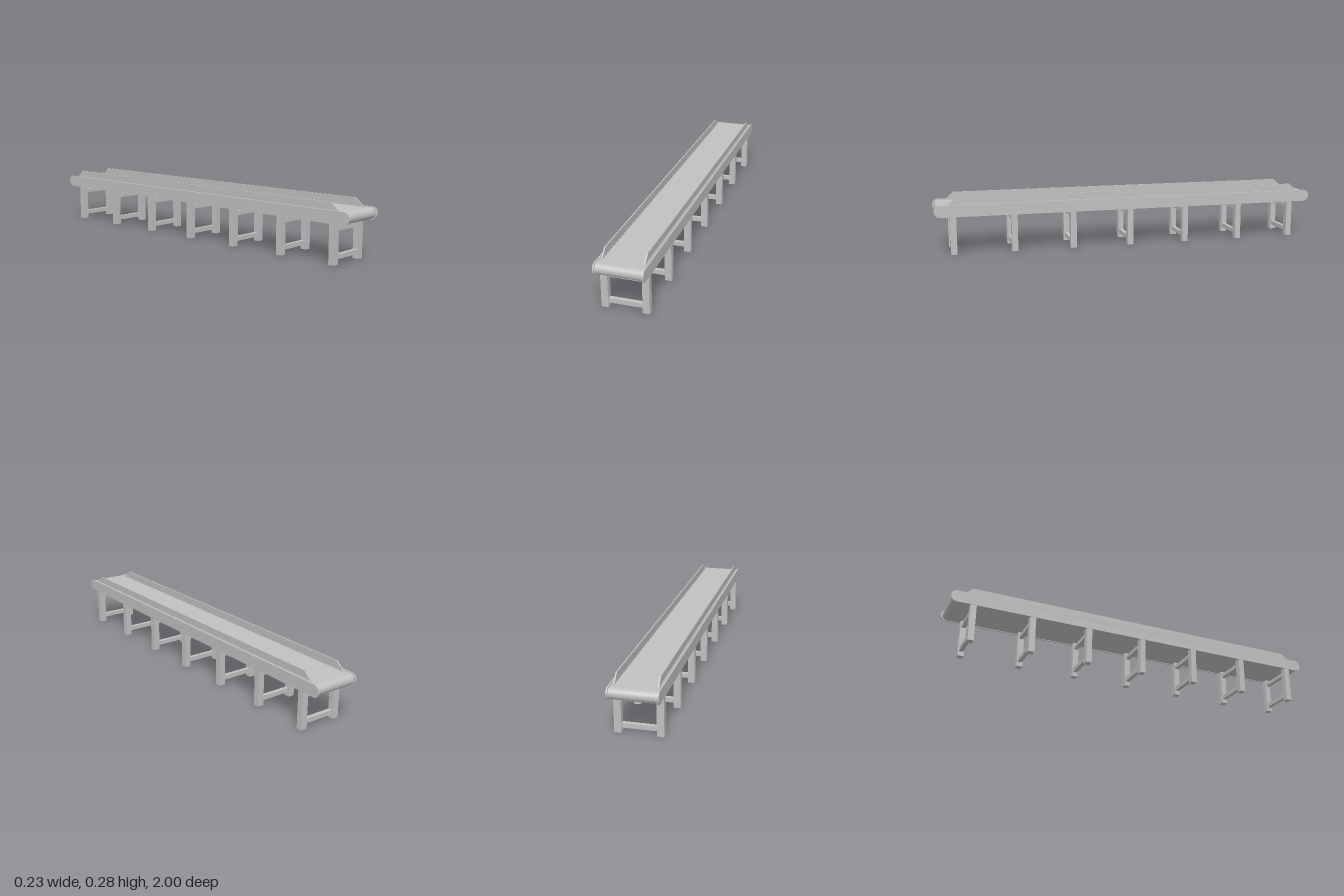
import * as THREE from 'three';

export function createModel() {
  const model = new THREE.Group();
  model.name = 'conveyor';
  const grey = new THREE.MeshStandardMaterial({ color: 0xc0c0c0 });
  grey.name = 'grey metal';

  function add(name, geometry, x = 0, y = 0, z = 0) {
    const mesh = new THREE.Mesh(geometry, grey);
    mesh.name = name;
    mesh.position.set(x, y, z);
    model.add(mesh);
  }
  const box = (name, w, h, d, x, y, z) => add(name, new THREE.BoxGeometry(w, h, d), x, y, z);

  // Extrude a (z, y) profile along x, centred on the given x
  function slab(name, shape, width, x, y) {
    const g = new THREE.ExtrudeGeometry(shape, { depth: width, bevelEnabled: false, curveSegments: 16 });
    g.translate(0, 0, -width / 2);
    g.rotateY(-Math.PI / 2);
    add(name, g, x, y, 0);
  }
  function stadium(halfLength, r) {
    const s = new THREE.Shape();
    const c = halfLength - r;
    s.moveTo(-c, -r);
    s.lineTo(c, -r);
    s.absarc(c, 0, r, -Math.PI / 2, Math.PI / 2, false);
    s.lineTo(-c, r);
    s.absarc(-c, 0, r, Math.PI / 2, Math.PI * 1.5, false);
    return s;
  }

  // Belt wrapped around both ends
  slab('belt', stadium(0.992, 0.0265), 0.216, 0, 0.2165);

  // Guard plate with sloping ends
  const guard = new THREE.Shape([
    [-0.936, 0.243], [0.936, 0.243], [0.893, 0.282], [-0.893, 0.282],
  ].map(([z, y]) => new THREE.Vector2(z, y)));

  for (const side of [-1, 1]) {
    slab('sidePanel', stadium(1, 0.03), 0.007, side * 0.1115, 0.217);
    slab('guard', guard, 0.006, side * 0.097, 0);
    box('guardFoot', 0.012, 0.004, 1.872, side * 0.099, 0.2445, 0);
  }

  // Seven leg frames, each with two cross rails
  for (let i = 0; i < 7; i++) {
    const z = 0.909 - i * 0.2994;
    for (const side of [-1, 1]) box('leg', 0.033, 0.192, 0.03, side * 0.0965, 0.096, z);
    box('lowerRail', 0.162, 0.022, 0.02, 0, 0.034, z);
    box('upperRail', 0.162, 0.02, 0.02, 0, 0.163, z);
  }
  return model;
}
